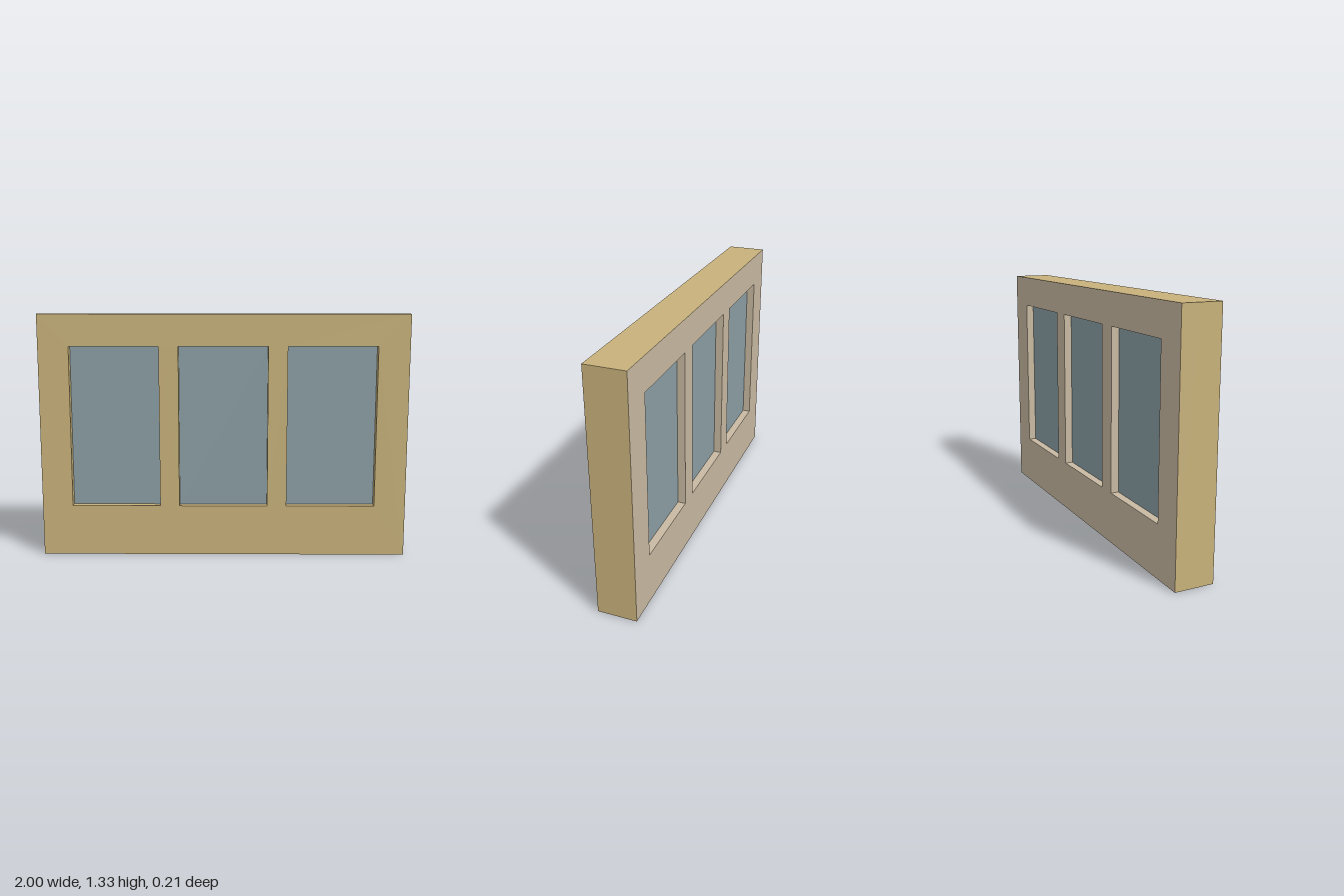
import * as THREE from 'three';

const WIDTH = 2, HEIGHT = 1.327, HALF_DEPTH = 0.105;
const OPENING = { width: 0.484, bottom: 0.277, top: 1.154, pitch: 0.59 };
const RECESS = 0.043;

function rectangle(target, x0, y0, x1, y1) {
  target.moveTo(x0, y0);
  target.lineTo(x1, y0);
  target.lineTo(x1, y1);
  target.lineTo(x0, y1);
  target.closePath();
  return target;
}

export function createModel() {
  const outside = new THREE.MeshStandardMaterial({ name: 'outside tan', color: 0xc8b27b });
  const inside = new THREE.MeshStandardMaterial({ name: 'inside beige', color: 0xc8b9a1 });
  const glass = new THREE.MeshStandardMaterial({ name: 'blue grey glass', color: 0x8a9ea4 });

  const model = new THREE.Group();
  model.name = 'windowWall';
  const centres = [-1, 0, 1].map((i) => i * OPENING.pitch - 0.002);

  // Wall outline with three window openings
  const outline = rectangle(new THREE.Shape(), -WIDTH / 2, 0, WIDTH / 2, HEIGHT);
  for (const x of centres) {
    const w = OPENING.width / 2;
    outline.holes.push(rectangle(new THREE.Path(), x - w, OPENING.bottom, x + w, OPENING.top));
  }

  // One half of the wall thickness; face and reveals share a colour, the outer rim is tan
  function wallHalf(name, z, faceMaterial) {
    const geometry = new THREE.ExtrudeGeometry(outline, { depth: HALF_DEPTH, bevelEnabled: false });
    const caps = geometry.groups[0].count;
    const rim = 4 * 6; // four outer sides, two triangles each
    geometry.clearGroups();
    geometry.addGroup(0, caps, 0);
    geometry.addGroup(caps, rim, 1);
    geometry.addGroup(caps + rim, geometry.attributes.position.count - caps - rim, 0);
    const mesh = new THREE.Mesh(geometry, [faceMaterial, outside]);
    mesh.name = name;
    mesh.position.z = z;
    model.add(mesh);
  }
  wallHalf('outerWall', 0, outside);
  wallHalf('innerWall', -HALF_DEPTH, inside);

  // Glazing, recessed equally from both faces
  const paneHeight = OPENING.top - OPENING.bottom;
  const paneGeometry = new THREE.BoxGeometry(OPENING.width, paneHeight, 2 * (HALF_DEPTH - RECESS));
  centres.forEach((x, i) => {
    const pane = new THREE.Mesh(paneGeometry, glass);
    pane.name = ['right', 'middle', 'left'][i] + 'WindowPane';
    pane.position.set(x, OPENING.bottom + paneHeight / 2, 0);
    model.add(pane);
  });

  return model;
}
